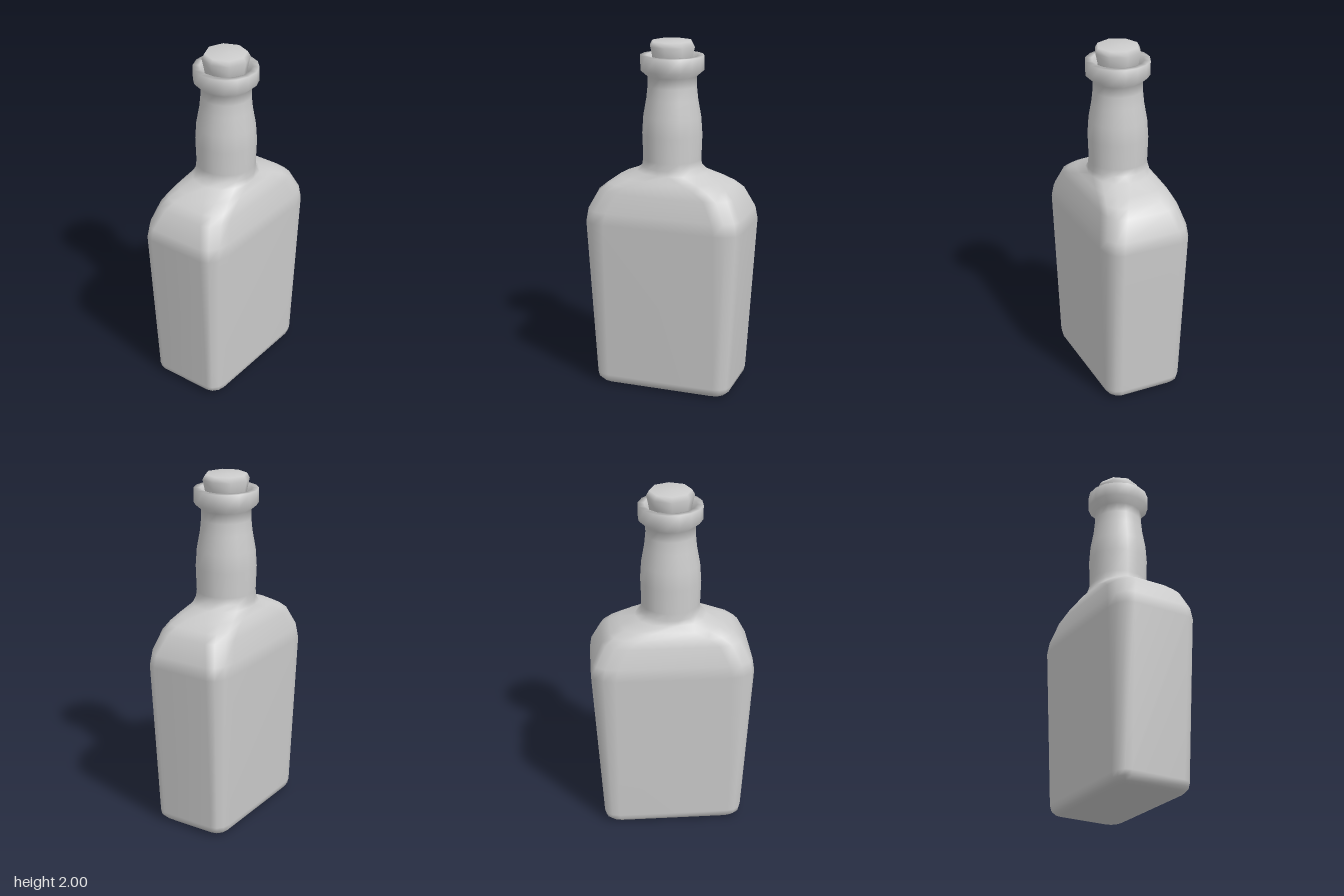
import * as THREE from 'three';

const material = new THREE.MeshStandardMaterial({ color: 0xcccccc });

// Sixteen-point ring: an ellipse quarter in each corner, pushed out to the half sizes hx, hz.
// Round rings (corner radius = half size) spread their points evenly round the circle.
function ring([y, hx, hz = hx, rx = hx, rz = hz]) {
  const round = rx === hx;
  const start = round ? Math.PI / 16 : 0;
  const step = round ? Math.PI / 8 : Math.PI / 6;
  const points = [];
  for (let corner = 0; corner < 4; corner++) {
    const sx = corner === 0 || corner === 3 ? 1 : -1;
    const sz = corner < 2 ? 1 : -1;
    for (let j = 0; j < 4; j++) {
      const a = corner * Math.PI / 2 + start + j * step;
      points.push([sx * (hx - rx) + rx * Math.cos(a), y, sz * (hz - rz) + rz * Math.sin(a)]);
    }
  }
  return points;
}

// Skin the rings in order and close both ends
function loft(sections) {
  const n = 16, positions = [], index = [];
  for (const s of sections) positions.push(...ring(s).flat());
  for (let i = 0; i < sections.length - 1; i++) {
    for (let j = 0; j < n; j++) {
      const a = i * n + j, b = i * n + (j + 1) % n;
      index.push(a, a + n, b, b, a + n, b + n);
    }
  }
  const first = sections.length * n, last = first + 1, end = first - n;
  positions.push(0, sections[0][0], 0, 0, sections[sections.length - 1][0], 0);
  for (let j = 0; j < n; j++) {
    const k = (j + 1) % n;
    index.push(first, j, k, last, end + k, end + j);
  }
  const geometry = new THREE.BufferGeometry();
  geometry.setAttribute('position', new THREE.Float32BufferAttribute(positions, 3));
  geometry.setIndex(index);
  geometry.computeVertexNormals();
  return geometry;
}

export function createModel() {
  const model = new THREE.Group();
  model.name = 'corkedBottle';

  // Glass: y, half width, half depth, corner radii; round rings need only y and radius
  const bottle = new THREE.Mesh(loft([
    // base and tapered body
    [0, 0.345, 0.175, 0.05, 0.05],
    [0.01, 0.375, 0.207, 0.07, 0.06],
    [0.03, 0.395, 0.224, 0.08, 0.065],
    [0.06, 0.403, 0.23, 0.085, 0.07],
    [0.98, 0.458, 0.26, 0.135, 0.09],
    // shoulders
    [1.05, 0.447, 0.252, 0.14, 0.09],
    [1.16, 0.393, 0.222, 0.14, 0.1],
    [1.2, 0.345, 0.207, 0.15, 0.11],
    [1.235, 0.285, 0.188, 0.17, 0.13],
    [1.27, 0.2, 0.168, 0.17, 0.15],
    // bulging neck
    [1.3, 0.17],
    [1.34, 0.165],
    [1.48, 0.17],
    [1.58, 0.163],
    [1.68, 0.145],
    [1.75, 0.138],
    [1.805, 0.138],
    // lip, then the inside of the mouth
    [1.84, 0.178],
    [1.92, 0.178],
    [1.92, 0.143],
    [1.86, 0.132],
    [1.75, 0.12],
  ]), material);
  bottle.name = 'bottle';
  model.add(bottle);

  // Eight-sided cork with a bevelled top
  const profile = [[0, 1.8], [0.1, 1.8], [0.12, 1.92], [0.131, 1.97], [0.115, 1.998], [0, 2]]
    .map(([r, y]) => new THREE.Vector2(r, y));
  const cork = new THREE.Mesh(new THREE.LatheGeometry(profile, 8), material);
  cork.name = 'cork';
  model.add(cork);

  return model;
}
